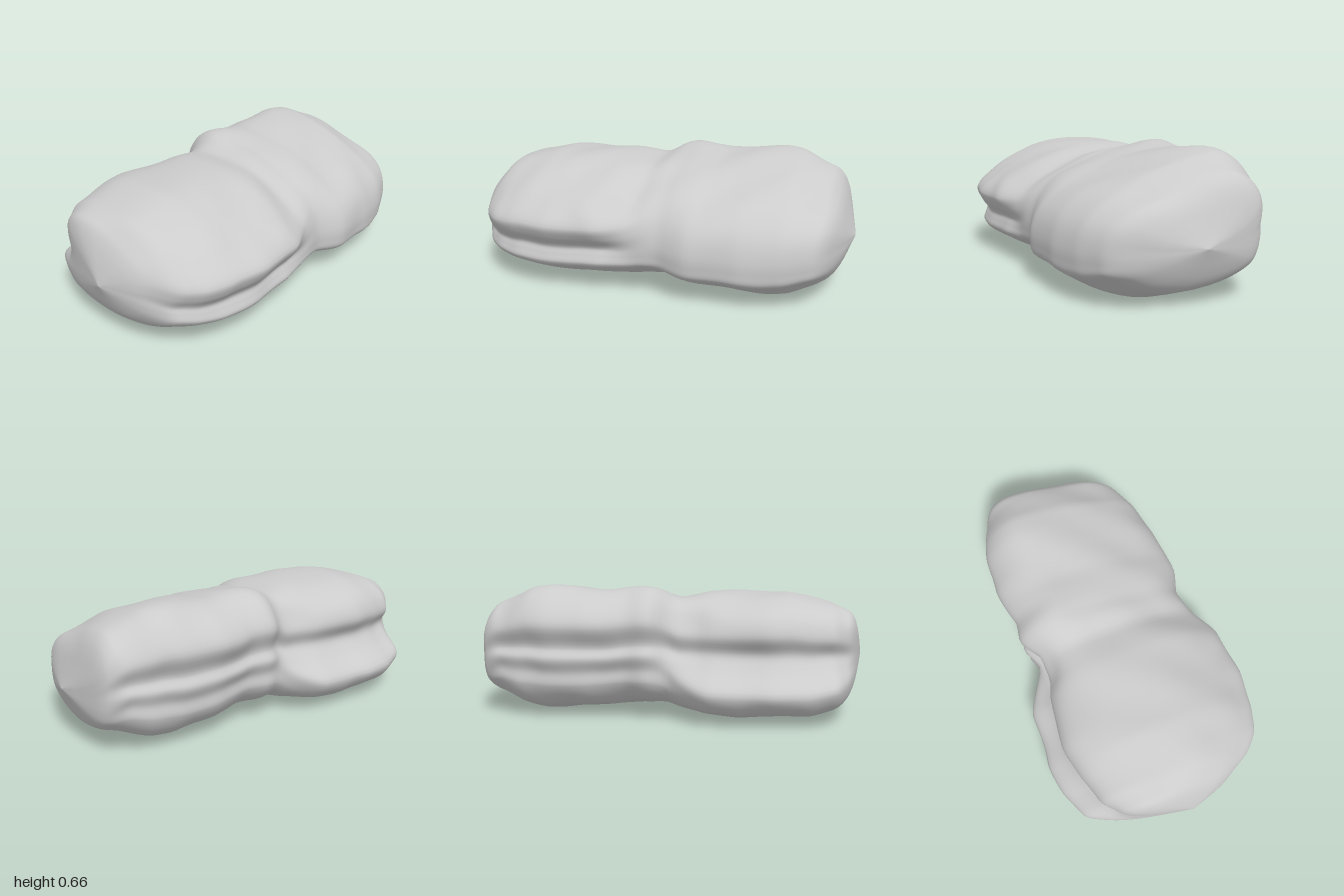
import * as THREE from 'three';

// Outline curves along the length: [x, value]
const FRONT = [[-1, .04], [-.95, .22], [-.865, .4], [-.77, .48], [-.65, .53], [-.45, .555], [-.2, .54], [-.05, .485],
  [.1, .45], [.25, .5], [.5, .5], [.7, .455], [.85, .39], [.9, .32], [.96, .16], [1, -.02]];
const BACK = [[-1, .04], [-.945, -.21], [-.9, -.34], [-.82, -.48], [-.66, -.54], [-.5, -.565], [-.2, -.54], [-.07, -.48],
  [.0, -.44], [.1, -.475], [.2, -.44], [.4, -.48], [.6, -.47], [.75, -.435], [.88, -.375], [.95, -.32], [.985, -.14], [1, -.02]];
const TOP = [[-1, .29], [-.97, .41], [-.925, .525], [-.82, .575], [-.6, .62], [-.2, .615], [-.05, .6], [.05, .655],
  [.13, .665], [.3, .64], [.6, .655], [.7, .65], [.89, .575], [.94, .495], [.96, .4], [1, .275]];
const BOTTOM = [[-1, .29], [-.935, .12], [-.88, .07], [-.7, .02], [-.35, .005], [0, .035], [.3, .01], [.6, -.005],
  [.72, .01], [.9, .08], [.945, .13], [1, .275]];

// Cross-sections [z, y] from the front, over the top, down the back and under
const SECTION_A = [[.49, .225], [.535, .285], [.555, .345], [.46, .44], [.33, .525], [.13, .605], [-.1, .62], [-.28, .595],
  [-.41, .52], [-.45, .43], [-.41, .34], [-.46, .265], [-.56, .165], [-.49, .065], [-.35, .03], [0, .01], [.25, .03],
  [.42, .085], [.51, .145], [.5, .19]];
const SECTION_B = [[.5, .25], [.48, .33], [.44, .4], [.36, .475], [.22, .545], [.06, .605], [-.12, .65], [-.28, .655],
  [-.4, .59], [-.47, .485], [-.43, .375], [-.455, .32], [-.43, .25], [-.43, .18], [-.33, .07], [.1, .005], [.3, .04],
  [.42, .095], [.49, .14], [.5, .19]];
// Plain rounded section for both ends
const SECTION_END = [[1, .42], [1, .52], [.97, .63], [.87, .76], [.7, .86], [.5, .94], [.3, 1], [.12, .98], [.02, .87],
  [0, .7], [0, .55], [0, .42], [.01, .28], [.07, .13], [.22, .04], [.5, 0], [.72, .03], [.86, .1], [.96, .2], [1, .31]];

const { lerp, smoothstep, clamp } = THREE.MathUtils;

function lookUp(table, x) {
  let i = 0;
  while (i < table.length - 2 && x > table[i + 1][0]) i++;
  const [x0, a] = table[i], [x1, b] = table[i + 1];
  return lerp(a, b, clamp((x - x0) / (x1 - x0), 0, 1));
}

// Lookup with the corners softened
function sample(table, x) {
  const h = Math.min(.02, 1 - Math.abs(x));
  return (lookUp(table, x - h) + 2 * lookUp(table, x) + lookUp(table, x + h)) / 4;
}

// Smooth closed ring, normalised to 0..1 in both directions
function unitRing(section, count) {
  const curve = new THREE.CatmullRomCurve3(section.map(([z, y]) => new THREE.Vector3(0, y, z)), true);
  const points = Array.from({ length: count }, (_, i) => curve.getPoint(i / count));
  const box = new THREE.Box3().setFromPoints(points);
  const size = box.getSize(new THREE.Vector3());
  return points.map(p => [(p.z - box.min.z) / size.z, (p.y - box.min.y) / size.y]);
}

// Gentle worn unevenness
function ripple(x, y, z) {
  return .006 * Math.sin(8 * x + 5 * z + 1) * Math.sin(9 * y + 6 * z) + .004 * Math.sin(17 * x - 9 * y + 11 * z);
}

function bump(x, y, z, cx, cy, cz, radius) {
  return Math.exp(-((x - cx) ** 2 + (y - cy) ** 2 + (z - cz) ** 2) / (radius * radius));
}

function buildRock() {
  const rows = 110, cols = 100;
  const [ringA, ringB, ringEnd] = [SECTION_A, SECTION_B, SECTION_END].map(s => unitRing(s, cols));
  const positions = [], index = [];
  for (let i = 0; i <= rows; i++) {
    const x = Math.sin((i / rows - .5) * Math.PI);
    const blend = smoothstep(x, -.2, .1);
    const end = smoothstep(Math.abs(x), .82, .97);
    const zf = sample(FRONT, x), zb = sample(BACK, x), yt = sample(TOP, x), yb = sample(BOTTOM, x);
    const cy = (yt + yb) / 2, cz = (zf + zb) / 2;
    const fade = Math.min(1, (1 - Math.abs(x)) * 10);
    for (let j = 0; j < cols; j++) {
      const [u, v] = [0, 1].map(k => lerp(lerp(ringA[j][k], ringB[j][k], blend), ringEnd[j][k], end));
      let z = lerp(zb, zf, u), y = lerp(yb, yt, v);
      const push = fade * ripple(x, y, z) / (Math.hypot(y - cy, z - cz) || 1);
      // front knob, hollow in the top, crease in the upper back
      const knob = .02 * bump(x, y, z, -.25, .43, .48, .07);
      const hollow = .018 * bump(x, y, z, .1, .63, -.08, .12);
      const crease = .04 * bump(x, y, z, -.11, .5, -.42, .12);
      // slight slope beyond the diagonal ridge of the top
      const past = Math.max(0, .8 * (x - .15) + .6 * (z - .3));
      const slope = .04 * past * smoothstep(v, .45, .9) * fade;
      y += push * (y - cy) - hollow - slope;
      z += push * (z - cz) + knob + crease;
      positions.push(x, Math.max(0, y), z);
      if (i < rows) {
        const a = i * cols + j, b = i * cols + (j + 1) % cols;
        index.push(a, a + cols, b, b, a + cols, b + cols);
      }
    }
  }
  const geometry = new THREE.BufferGeometry();
  geometry.setAttribute('position', new THREE.Float32BufferAttribute(positions, 3));
  geometry.setIndex(index);
  geometry.computeVertexNormals();
  return geometry;
}

export function createModel() {
  const group = new THREE.Group();
  group.name = 'boulder';
  const rock = new THREE.Mesh(buildRock(), new THREE.MeshStandardMaterial({ color: 0xcccccc }));
  rock.name = 'rock';
  group.add(rock);
  return group;
}
